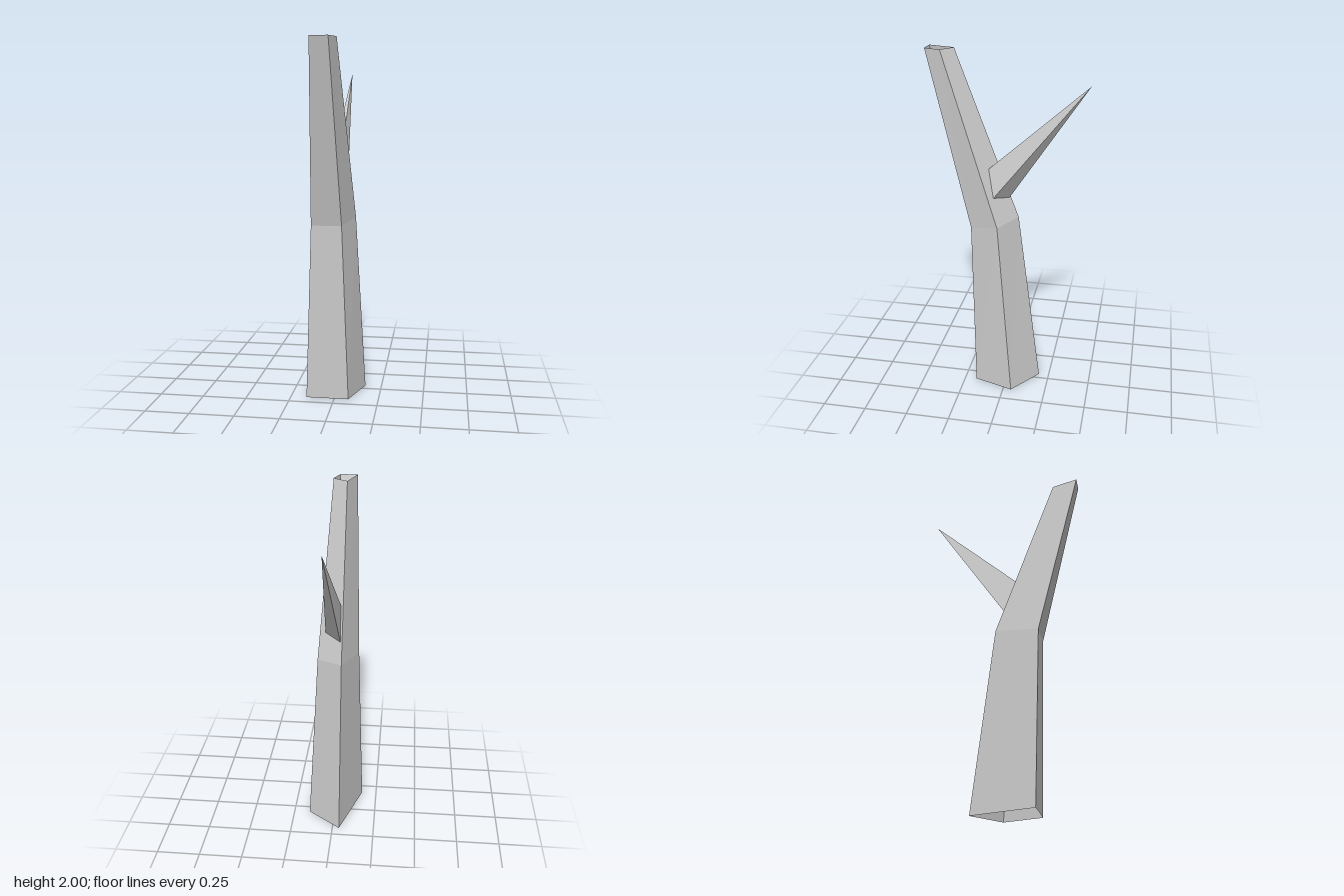
import * as THREE from 'three';

// Skin rings of corners (counterclockwise seen from the growing end);
// a ring with a single corner closes the shape in a point.
function loft(name, rings) {
  const pos = [];
  for (let r = 0; r < rings.length - 1; r++) {
    const low = rings[r], high = rings[r + 1], n = low.length;
    for (let i = 0; i < n; i++) {
      const j = (i + 1) % n;
      if (high.length === 1) {
        pos.push(...low[i], ...low[j], ...high[0]);
      } else {
        pos.push(...low[i], ...low[j], ...high[j]);
        pos.push(...low[i], ...high[j], ...high[i]);
      }
    }
  }
  const geometry = new THREE.BufferGeometry();
  geometry.setAttribute('position', new THREE.Float32BufferAttribute(pos, 3));
  geometry.computeVertexNormals();
  const mesh = new THREE.Mesh(geometry, new THREE.MeshStandardMaterial({
    color: 0xcccccc, flatShading: true, side: THREE.DoubleSide,
  }));
  mesh.name = name;
  return mesh;
}

export function createModel() {
  const model = new THREE.Group();
  model.name = 'deadTree';

  // Four-sided tapering trunk, open at both ends, bending forward at mid height
  model.add(loft('trunk', [
    [[-0.16, 0, 0.18], [0.08, 0, 0.18], [0.155, 0, -0.048], [-0.04, 0, -0.19]],
    [[-0.125, 1, 0.205], [0.045, 1, 0.205], [0.105, 1.03, 0.042], [-0.04, 1.05, -0.056]],
    [[-0.088, 2, 0.45], [0.01, 2, 0.45], [0.04, 2, 0.358], [-0.04, 2, 0.3]],
  ]));

  // Pointed branch rising from the back face of the trunk
  model.add(loft('branch', [
    [[0.025, 1.35, 0.103], [0.061, 1.19, 0.072], [-0.03, 1.17, -0.005], [-0.027, 1.36, 0.07]],
    [[0.023, 1.835, -0.447]],
  ]));

  return model;
}
